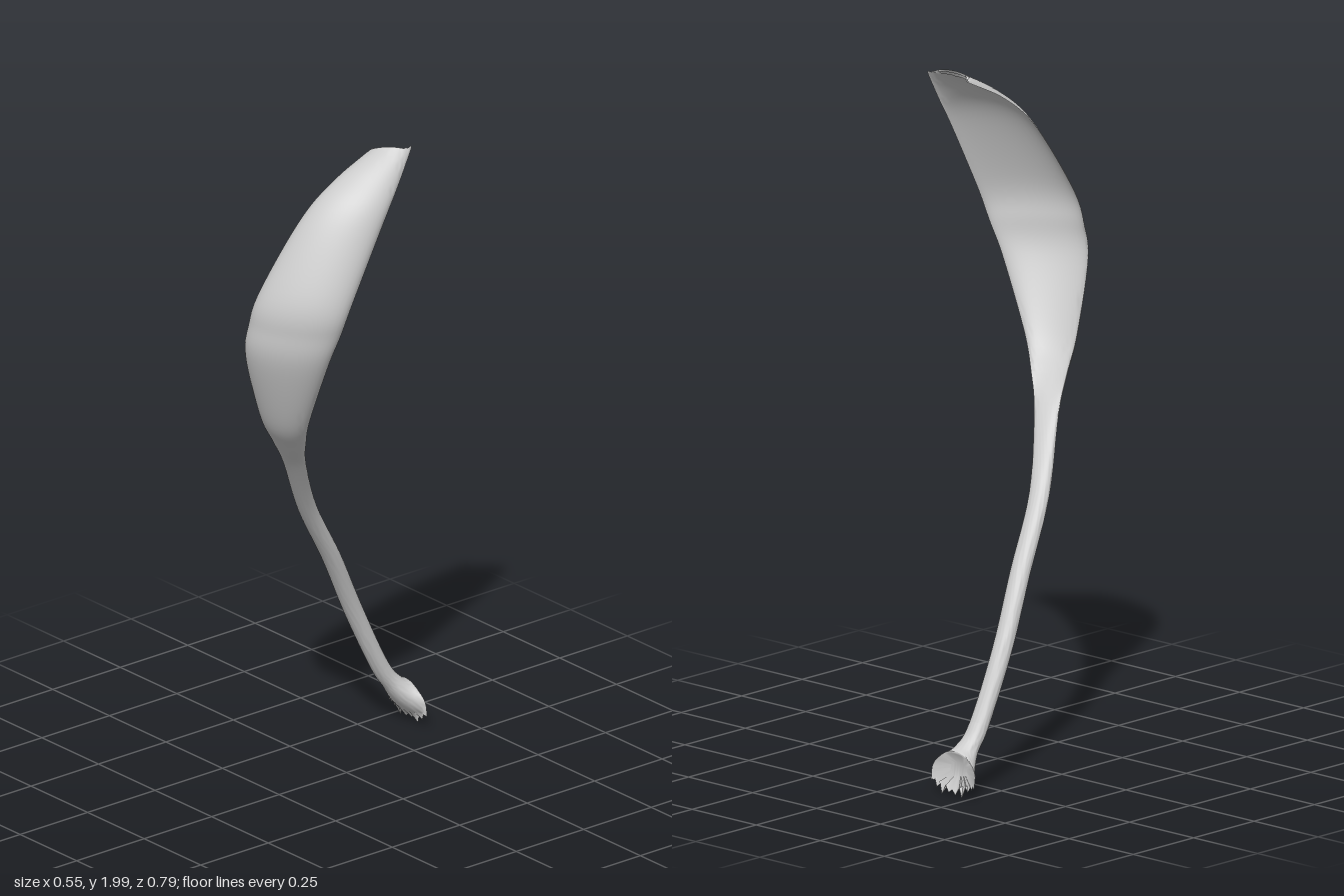
import * as THREE from 'three';
import { toCreasedNormals } from 'three/addons/utils/BufferGeometryUtils.js';

// Cross-sections from foot to tip: left edge, right edge, [outer bulge, inner bulge]
const SECTIONS = [
  [[-0.272, 0.07, -0.382], [-0.102, 0.07, -0.382], [0.045, -0.06]],
  [[-0.23, 0.13, -0.335], [-0.152, 0.13, -0.338], [0.03, -0.028]],
  [[-0.226, 0.2, -0.283], [-0.167, 0.2, -0.29], [0.026, -0.024]],
  [[-0.22, 0.4, -0.18], [-0.162, 0.4, -0.19], [0.027, -0.025]],
  [[-0.192, 0.6, -0.074], [-0.132, 0.6, -0.086], [0.025, -0.024]],
  [[-0.15, 0.8, 0.052], [-0.09, 0.8, 0.036], [0.025, -0.02]],
  [[-0.075, 1.0, 0.17], [0, 1.0, 0.15], [0.025, -0.008]],
  [[-0.047, 1.1, 0.235], [0.06, 1.1, 0.2], [0.035, 0.01]],
  [[-0.03, 1.2, 0.295], [0.12, 1.2, 0.235], [0.047, 0.03]],
  [[-0.001, 1.4, 0.372], [0.215, 1.4, 0.247], [0.058, 0.047]],
  [[0.019, 1.5, 0.378], [0.25, 1.5, 0.23], [0.064, 0.053]],
  [[0.041, 1.6, 0.358], [0.268, 1.6, 0.2], [0.066, 0.055]],
  [[0.084, 1.8, 0.248], [0.264, 1.8, 0.09], [0.06, 0.05]],
  [[0.105, 1.9, 0.142], [0.248, 1.9, 0.018], [0.046, 0.038]],
  [[0.123, 1.975, 0], [0.222, 1.998, -0.058], [0.028, 0.022]],
];
const LAST = SECTIONS.length - 1;
const HALF = 20; // points along each side of a cross-section
const RING = HALF * 2;

const curveOf = (k) => new THREE.CatmullRomCurve3(
  SECTIONS.map((s) => new THREE.Vector3(s[k][0], s[k][1], s[k][2] ?? 0)), false, 'catmullrom', 0.5);
const leftEdge = curveOf(0), rightEdge = curveOf(1), bulge = curveOf(2);

// One closed cross-section at t (0 foot, 1 tip): outer half arc, then inner half arc back
function ring(t) {
  const L = leftEdge.getPoint(t), R = rightEdge.getPoint(t), b = bulge.getPoint(t);
  const chord = R.clone().sub(L);
  const along = leftEdge.getTangent(t).add(rightEdge.getTangent(t)).normalize();
  const normal = chord.clone().cross(along).normalize();
  // the foot opens backwards
  const footTurn = Math.max(0, 1 - t * LAST);
  normal.lerp(new THREE.Vector3(0, -1, -0.12), footTurn).normalize();
  const points = [];
  for (let j = 0; j < RING; j++) {
    const a = (j / HALF) * Math.PI;
    const s = Math.abs(Math.sin(a));
    const depth = s * (j <= HALF ? b.x : b.y);
    const p = L.clone().addScaledVector(chord, (1 - Math.cos(a)) / 2).addScaledVector(normal, depth);
    // torn ends: ragged lower rim of the foot, notched tip
    if (t === 0 && j < HALF) p.addScaledVector(normal, (j % 2 ? 0.022 : -0.01) * Math.abs(Math.sin(a * 3.3 + 1)));
    if (t === 1) {
      const k = j <= HALF ? j : RING - j;
      p.addScaledVector(along, -0.035 * s + (k % 2 ? 0.004 : -0.006) * Math.abs(Math.sin(k * 1.7)));
    }
    points.push(p);
  }
  return points;
}

// Skin the cross-sections between two section numbers
function loft(from, to, steps) {
  const rings = [];
  for (let i = 0; i <= steps; i++) rings.push(ring((from + ((to - from) * i) / steps) / LAST));
  // shallow hollow inside the foot
  if (from === 0) {
    const hollow = new THREE.Vector3(-0.19, 0.085, -0.35);
    rings.unshift(rings[0].map((p) => p.clone().lerp(hollow, 0.6)));
  }
  const pos = rings.flat().flatMap((p) => [p.x, Math.max(0, p.y), p.z]);
  const idx = [];
  for (let i = 0; i < rings.length - 1; i++) {
    for (let j = 0; j < RING; j++) {
      const a = i * RING + j, b = i * RING + ((j + 1) % RING);
      idx.push(a, b, a + RING, b, b + RING, a + RING);
    }
  }
  // close the two ends of the whole form by bridging outer to inner arc
  const cap = (base, flip) => {
    for (let j = 0; j < HALF; j++) {
      const a = base + j, b = a + 1;
      const c = base + ((RING - j) % RING), d = base + RING - j - 1;
      idx.push(...(flip ? [a, c, b, b, c, d] : [a, b, c, b, d, c]));
    }
  };
  if (from === 0) cap(0, true);
  if (to === LAST) cap(steps * RING, false);
  const g = new THREE.BufferGeometry();
  g.setAttribute('position', new THREE.Float32BufferAttribute(pos, 3));
  g.setIndex(idx);
  return toCreasedNormals(g, 1.0);
}

export function createModel() {
  const group = new THREE.Group();
  group.name = 'petal';
  const material = new THREE.MeshStandardMaterial({ color: 0xcccccc, side: THREE.DoubleSide });
  const add = (name, from, to, steps) => {
    const mesh = new THREE.Mesh(loft(from, to, steps), material);
    mesh.name = name;
    group.add(mesh);
  };
  add('tornFoot', 0, 2, 12);
  add('stalk', 2, 7, 30);
  add('blade', 7, LAST, 48);
  return group;
}
